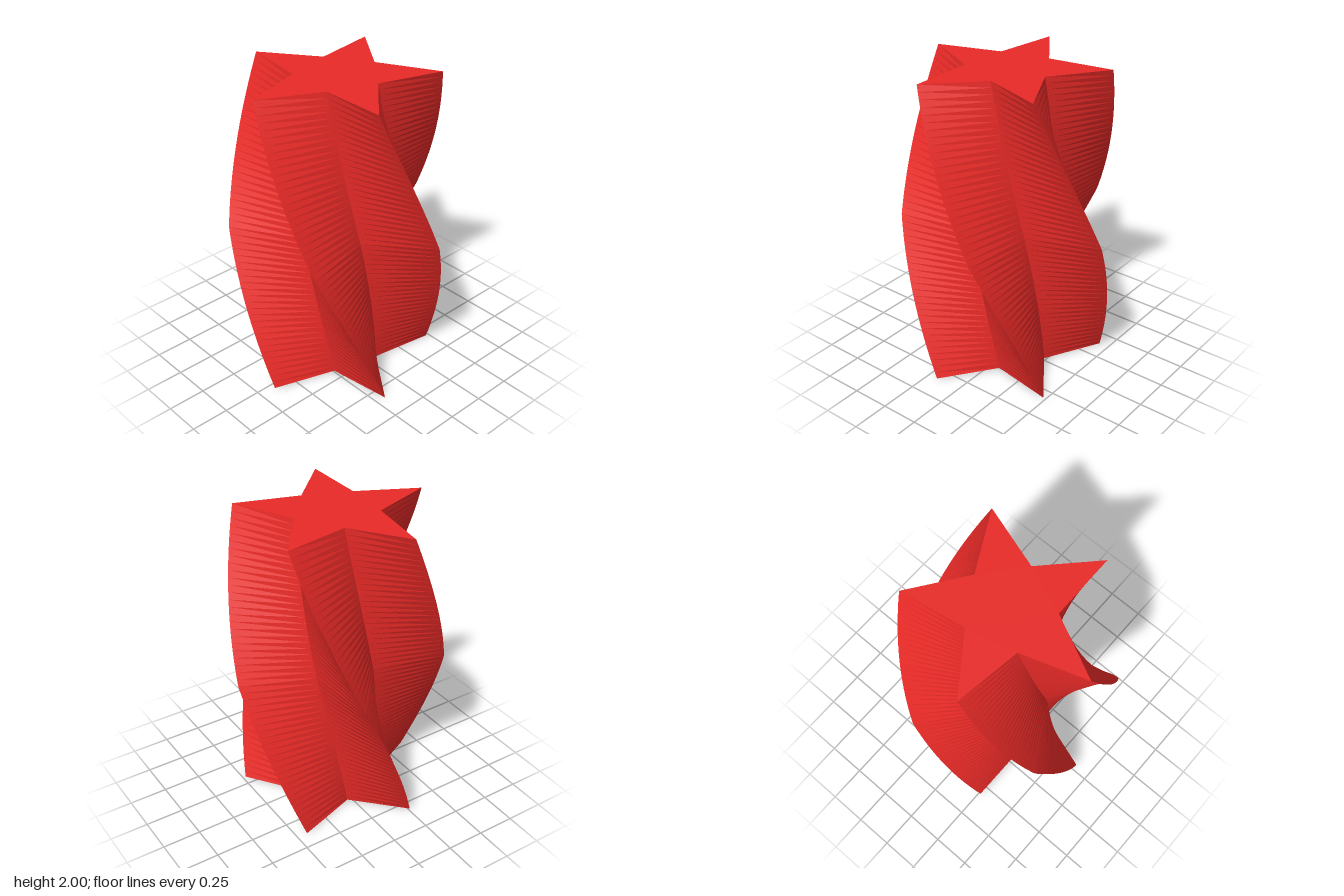
import * as THREE from 'three';

const HEIGHT = 2, LAYERS = 50, POINTS = 5;
const TIP = 0.695, NOTCH = 0.309;          // star radii at mid height
const END_SCALE = 0.873;                   // narrowing at both ends
const HALF_TWIST = THREE.MathUtils.degToRad(40);
const OFFSET_X = -0.035;

function starShape() {
  const pts = [];
  for (let i = 0; i < POINTS * 2; i++) {
    const a = (i * Math.PI) / POINTS, r = i % 2 ? NOTCH : TIP;
    pts.push(new THREE.Vector2(r * Math.cos(a), r * Math.sin(a)));
  }
  return new THREE.Shape(pts);
}

export function createModel() {
  const group = new THREE.Group();
  group.name = 'twistedStarColumn';

  // Star prism, standing upright
  const geo = new THREE.ExtrudeGeometry(starShape(), { depth: HEIGHT, steps: LAYERS, bevelEnabled: false });
  geo.rotateX(-Math.PI / 2);

  // Twist steadily with height and taper linearly from the middle to each end
  const pos = geo.attributes.position;
  for (let i = 0; i < pos.count; i++) {
    const x = pos.getX(i), y = pos.getY(i), z = pos.getZ(i);
    const t = y - HEIGHT / 2;
    const s = 1 - (1 - END_SCALE) * Math.abs(t);
    const c = Math.cos(HALF_TWIST * t) * s, n = Math.sin(HALF_TWIST * t) * s;
    pos.setXYZ(i, x * c - z * n + OFFSET_X, y, x * n + z * c);
  }
  geo.computeVertexNormals();

  const column = new THREE.Mesh(geo, new THREE.MeshStandardMaterial({ color: 0xe82a27, flatShading: true }));
  column.name = 'starColumn';
  group.add(column);
  return group;
}
